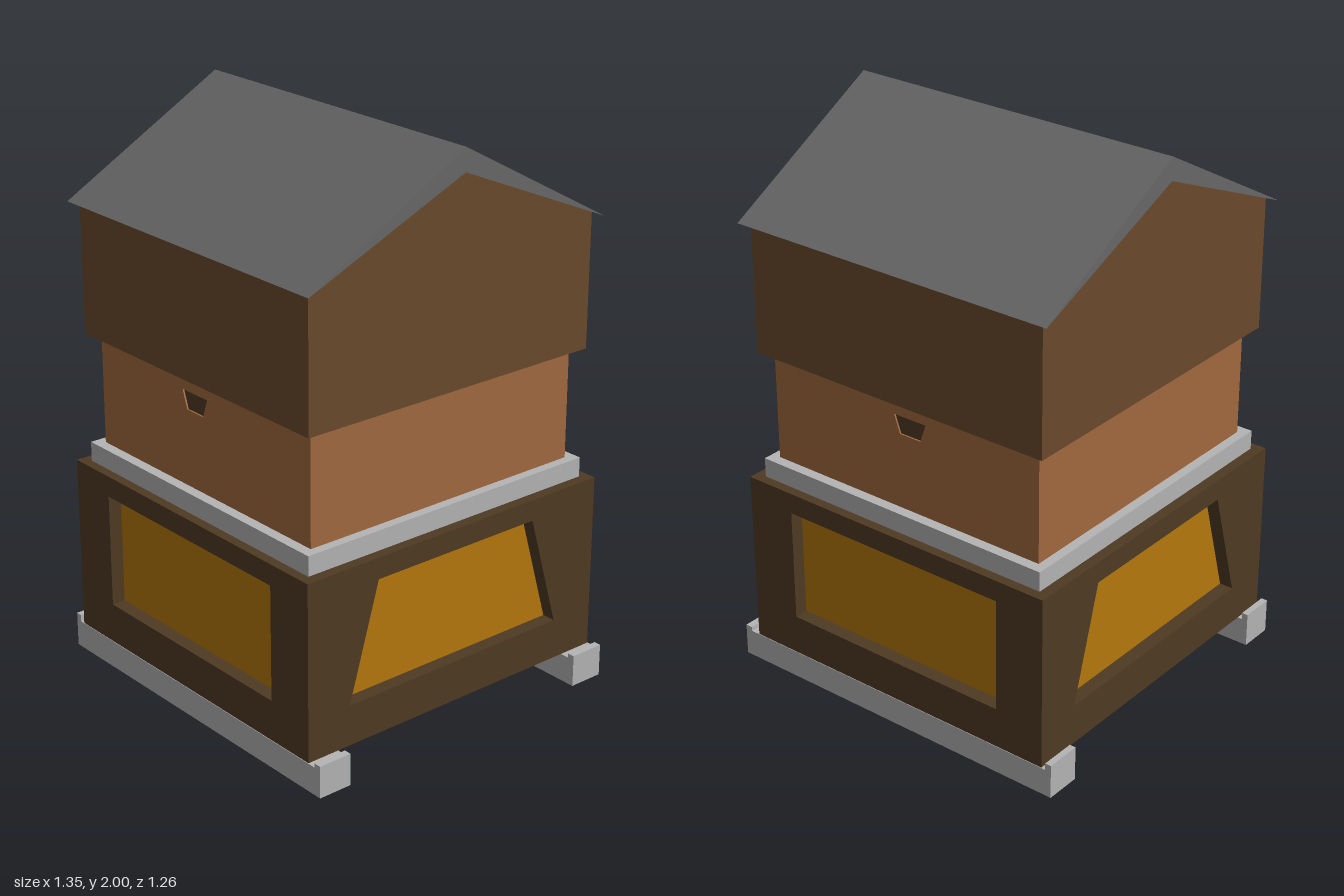
import * as THREE from 'three';

const mat = (name, color) => {
  const m = new THREE.MeshStandardMaterial({ color });
  m.name = name;
  return m;
};

export function createModel() {
  const darkBrown = mat('darkBrown', 0x4f3a22);
  const brown = mat('brown', 0x6a4a2c);
  const terracotta = mat('terracotta', 0xa2693f);
  const amber = mat('amber', 0xb5780c);
  const paleGrey = mat('paleGrey', 0xb4b4b4);
  const roofGrey = mat('roofGrey', 0x686868);

  const model = new THREE.Group();
  model.name = 'beehive';
  const CX = -0.01; // the stacked boxes sit slightly off the feet's centre

  const add = (name, geometry, material, parent = model) => {
    const mesh = new THREE.Mesh(geometry, material);
    mesh.name = name;
    parent.add(mesh);
    return mesh;
  };
  // Box given by its extents
  const box = (name, material, x0, x1, y0, y1, z0, z1) =>
    add(name, new THREE.BoxGeometry(x1 - x0, y1 - y0, z1 - z0), material)
      .position.set((x0 + x1) / 2, (y0 + y1) / 2, (z0 + z1) / 2);
  const shapeOf = pts => new THREE.Shape(pts.map(p => new THREE.Vector2(...p)));
  const extrude = (shape, depth) => new THREE.ExtrudeGeometry(shape, { depth, bevelEnabled: false });

  // Wall with an opening; outer surface lies at distance dist, turned by angle
  const wall = (name, material, half, y0, y1, hole, depth, dist, angle) => {
    const shape = shapeOf([[-half, y0], [half, y0], [half, y1], [-half, y1]]);
    shape.holes.push(new THREE.Path(hole.map(p => new THREE.Vector2(...p))));
    const pivot = new THREE.Group();
    pivot.name = name + 'Pivot';
    pivot.position.x = CX;
    pivot.rotation.y = angle;
    model.add(pivot);
    add(name, extrude(shape, depth), material, pivot).position.z = dist - depth;
  };

  // Feet: two long rails with raised end lips
  for (const s of [1, -1]) {
    const z0 = s > 0 ? 0.505 : -0.63, z1 = s > 0 ? 0.63 : -0.5;
    box('footRail', paleGrey, -0.675, 0.675, 0, 0.1, z0, z1);
    box('footLipRight', paleGrey, -0.675, -0.652, 0.1, 0.125, z0, z1);
    box('footLipLeft', paleGrey, 0.648, 0.675, 0.1, 0.115, z0, z1);
  }

  // Base: amber core behind four framed openings
  const D = 0.05, HX = 0.625, HZ = 0.628;
  box('honeyCore', amber, CX - HX + D, CX + HX - D, 0.15, 0.68, -HZ + D, HZ - D);
  for (const [name, y0, y1] of [['baseFloor', 0.1, 0.15], ['baseTop', 0.68, 0.73]])
    box(name, darkBrown, CX - HX + D, CX + HX - D, y0, y1, -HZ + D, HZ - D);
  const rectWindow = [[-0.44, 0.245], [0.44, 0.245], [0.44, 0.655], [-0.44, 0.655]];
  const taperWindow = [[-0.457, 0.245], [0.457, 0.245], [0.338, 0.655], [-0.338, 0.655]];
  wall('baseFront', darkBrown, HX, 0.1, 0.73, rectWindow, D, HZ, 0);
  wall('baseBack', darkBrown, HX, 0.1, 0.73, rectWindow, D, HZ, Math.PI);
  wall('baseLeft', darkBrown, HZ - D, 0.1, 0.73, taperWindow, D, HX, Math.PI / 2);
  wall('baseRight', darkBrown, HZ - D, 0.1, 0.73, taperWindow, D, HX, -Math.PI / 2);

  // Landing slab
  box('slab', paleGrey, CX - 0.586, CX + 0.586, 0.73, 0.8, -0.593, 0.593);

  // Brood box with a small entrance at front and back
  const BX = 0.552, BZ = 0.555, R = 0.012;
  box('broodCore', terracotta, CX - BX, CX + BX, 0.8, 1.195, -BZ + R, BZ - R);
  const entrance = s => [[-0.075, 1.07], [0.01, 1.07], [0.033, 1.135], [-0.098, 1.135]]
    .map(([x, y]) => [s * x, y]);
  for (const [name, s, angle] of [['Front', 1, 0], ['Back', -1, Math.PI]]) {
    wall('brood' + name, terracotta, BX, 0.8, 1.195, entrance(s), R, BZ, angle);
    box('entrance' + name, darkBrown, -0.108, 0.023, 1.07, 1.135,
      s * (BZ - 0.009) - 0.003, s * (BZ - 0.009) + 0.003);
  }

  // Gabled upper box and roof, profiles in z/y swept along x
  const sweep = (name, material, pts, half) => {
    const mesh = add(name, extrude(shapeOf(pts), 2 * half), material);
    mesh.rotation.y = Math.PI / 2;
    mesh.position.x = CX - half;
  };
  sweep('upperBox', brown,
    [[-0.594, 1.195], [0.594, 1.195], [0.594, 1.667], [0, 1.92], [-0.594, 1.667]], 0.592);
  sweep('roof', roofGrey, [[-0.62, 1.656], [0, 1.92], [0.62, 1.656], [0, 2]], 0.625);

  return model;
}
